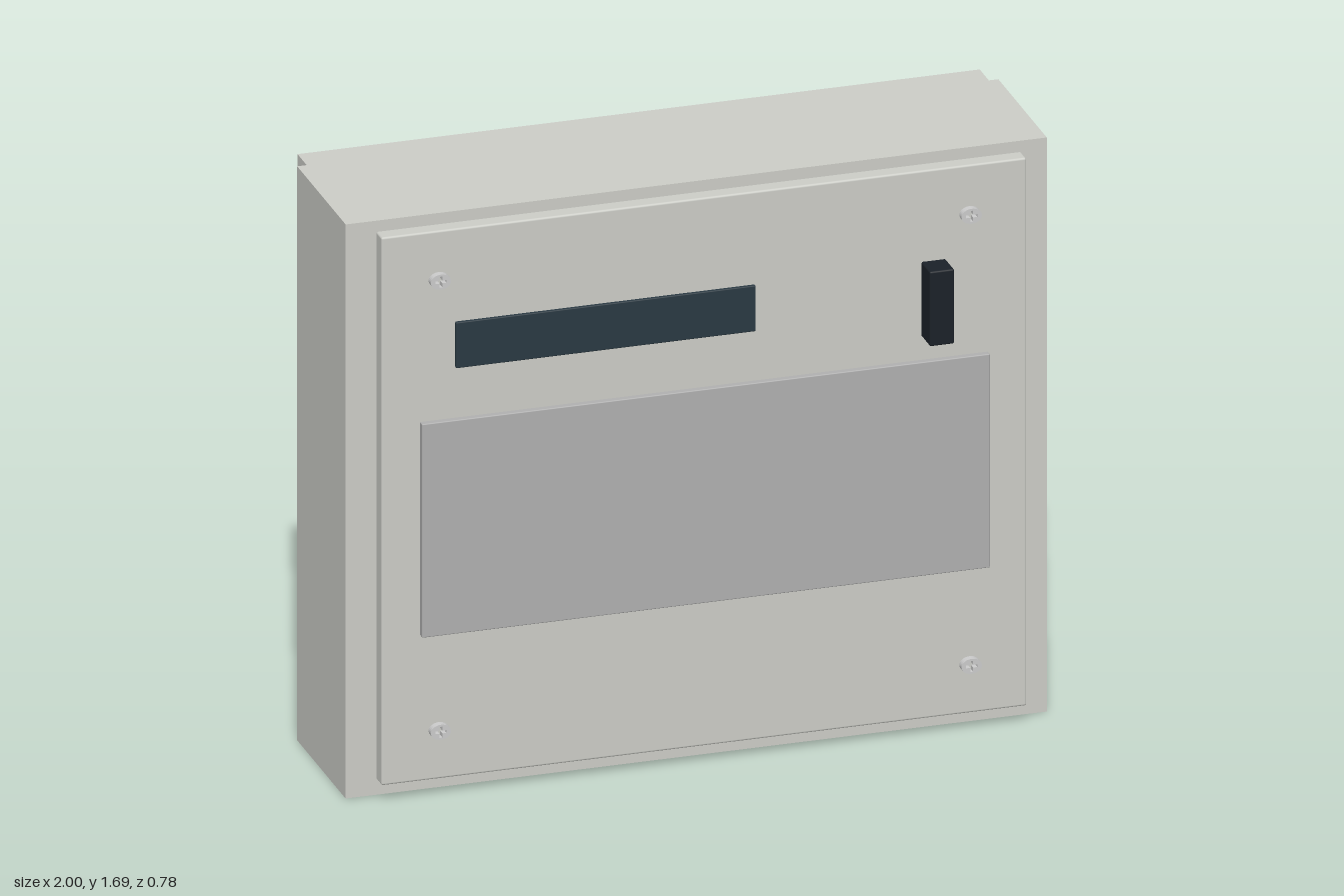
import * as THREE from 'three';
import { RoundedBoxGeometry } from 'three/addons/geometries/RoundedBoxGeometry.js';

const mat = (color) => new THREE.MeshStandardMaterial({ color });

export function createModel() {
  const model = new THREE.Group();
  const shell = mat(0xcccdc7), panelGrey = mat(0xb0b0b0), slate = mat(0x2a3942);
  const black = mat(0x1b2128), steel = mat(0xcccccc), brass = mat(0xc08a3c);

  const add = (parent, name, geometry, material) => {
    const mesh = new THREE.Mesh(geometry, material);
    mesh.name = name;
    parent.add(mesh);
    return mesh;
  };
  // Box given by its limits on each axis
  const box = (parent, name, material, [x0, x1], [y0, y1], [z0, z1], radius = 0) => {
    const size = [x1 - x0, y1 - y0, z1 - z0];
    const geo = radius ? new RoundedBoxGeometry(...size, 2, radius) : new THREE.BoxGeometry(...size);
    geo.translate((x0 + x1) / 2, (y0 + y1) / 2, (z0 + z1) / 2);
    return add(parent, name, geo, material);
  };

  // Cabinet: plan outline with stepped rear corners, extruded upwards
  const plan = new THREE.Shape([
    [-1, -0.245], [1, -0.245], [1, 0.185], [0.973, 0.185],
    [0.973, 0.266], [-0.973, 0.266], [-0.973, 0.185], [-1, 0.185],
  ].map(([x, y]) => new THREE.Vector2(x, y)));
  const cabinet = new THREE.ExtrudeGeometry(plan, { depth: 1.69, bevelEnabled: false });
  add(model, 'cabinet', cabinet.rotateX(-Math.PI / 2), shell);

  // Door with gasket and corner spacers
  const door = new THREE.Group();
  door.name = 'door';
  model.add(door);
  box(door, 'doorLeaf', shell, [-0.92, 0.92], [0.055, 1.668], [0.265, 0.315], 0.006);
  box(door, 'gasket', black, [-0.905, 0.905], [0.065, 1.658], [0.256, 0.267]);
  for (const s of [-1, 1]) {
    for (const y of [0.125, 1.597]) {
      box(door, 'cornerSpacer', black, [s * 0.84 - 0.055, s * 0.84 + 0.055], [y - 0.042, y + 0.042], [0.24, 0.258]);
    }
  }
  box(door, 'displayWindow', slate, [-0.71, 0.145], [1.26, 1.395], [0.31, 0.324], 0.003);
  box(door, 'coverPanel', panelGrey, [-0.81, 0.81], [0.483, 1.112], [0.31, 0.333], 0.003);
  box(door, 'latchHandle', black, [0.62, 0.69], [1.18, 1.4], [0.31, 0.39], 0.005);

  // Oval screw heads with a cross recess
  const head = new THREE.Shape().absellipse(0, 0, 0.029, 0.022, 0, Math.PI * 2);
  const a = 0.016, b = 0.004;
  head.holes.push(new THREE.Path([
    [a, b], [b, b], [b, a], [-b, a], [-b, b], [-a, b],
    [-a, -b], [-b, -b], [-b, -a], [b, -a], [b, -b], [a, -b],
  ].map(([x, y]) => new THREE.Vector2(x, y))));
  const headGeo = new THREE.ExtrudeGeometry(head, { depth: 0.02, bevelEnabled: false, curveSegments: 16 });
  for (const x of [-0.757, 0.757]) {
    for (const y of [0.2, 1.525]) {
      add(door, 'doorScrew', headGeo, steel).position.set(x, y, 0.315);
    }
  }

  // Rear backing plate
  box(model, 'backPlate', slate, [-0.475, 0.475], [0.35, 1.43], [-0.271, -0.26]);

  // One screw terminal, base at y = 0
  const terminal = (x) => {
    const t = new THREE.Group();
    t.name = 'terminal';
    t.position.x = x;
    box(t, 'terminalBody', slate, [-0.04, 0.04], [0.01, 0.115], [-0.345, -0.295]);
    for (const s of [-1, 1]) {
      box(t, 'clampSide', brass, [s * 0.046 - 0.006, s * 0.046 + 0.006], [0.014, 0.075], [-0.364, -0.315]);
    }
    box(t, 'clampBase', brass, [-0.052, 0.052], [0.012, 0.024], [-0.364, -0.315]);
    box(t, 'clampFace', brass, [-0.03, 0.03], [0.024, 0.045], [-0.356, -0.33]);
    box(t, 'lug', steel, [-0.04, 0.04], [0.05, 0.112], [-0.366, -0.325]);
    const screw = new THREE.CylinderGeometry(0.021, 0.021, 0.026, 20).rotateX(Math.PI / 2);
    add(t, 'terminalScrew', screw, steel).position.set(0, 0.084, -0.377);
    box(t, 'screwSlot', black, [-0.017, 0.017], [0.081, 0.087], [-0.391, -0.385]);
    return t;
  };

  // Rounded colour marker lying flat under the tray
  const marker = new THREE.Shape();
  marker.absarc(0.04, 0, 0.018, -Math.PI / 2, Math.PI / 2);
  marker.absarc(-0.04, 0, 0.018, Math.PI / 2, Math.PI * 1.5);
  const markerGeo = new THREE.ExtrudeGeometry(marker, { depth: 0.022, bevelEnabled: false }).rotateX(-Math.PI / 2);
  const phases = [[0.39, 0x2f9e4f], [0, 0x3f78b5], [-0.39, 0xa8592a]];

  // Two terminal blocks: rear wall, tray, dividers, terminals
  for (const y of [0.345, 1.29]) {
    const block = new THREE.Group();
    block.name = 'terminalBlock';
    block.position.y = y;
    box(block, 'blockWall', slate, [-0.475, 0.475], [0, 0.147], [-0.3, -0.262]);
    box(block, 'blockTray', slate, [-0.475, 0.475], [0, 0.013], [-0.377, -0.262]);
    for (const x of [-0.197, 0.197]) {
      box(block, 'divider', slate, [x - 0.005, x + 0.005], [0.01, 0.145], [-0.372, -0.295]);
    }
    for (const [x, color] of phases) {
      block.add(terminal(x));
      add(block, 'phaseMarker', markerGeo, mat(color)).position.set(x, -0.016, -0.34);
    }
    model.add(block);
  }
  return model;
}
